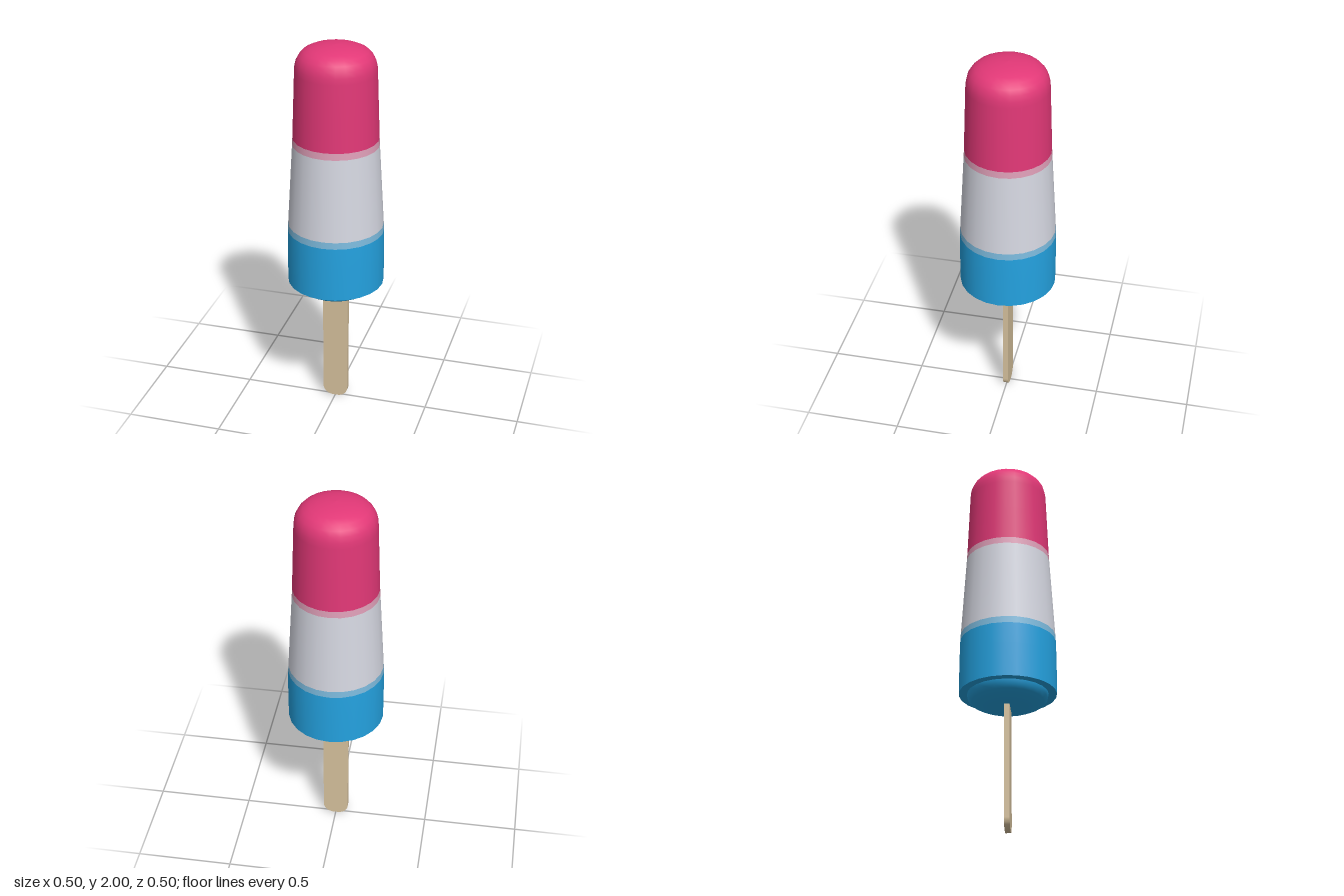
import * as THREE from 'three';

const material = (name, color) => {
  const m = new THREE.MeshStandardMaterial({ color });
  m.name = name;
  return m;
};

export function createModel() {
  const pink = material('pink ice', 0xe23877);
  const palePink = material('pale pink blend', 0xe0a0b9);
  const white = material('white ice', 0xd6d8e2);
  const paleBlue = material('pale blue blend', 0x7dbbde);
  const blue = material('blue ice', 0x24a2e0);
  const wood = material('pale wood', 0xd6c19d);

  const group = new THREE.Group();
  group.name = 'icePop';

  const add = (name, geometry, mat) => {
    const mesh = new THREE.Mesh(geometry, mat);
    mesh.name = name;
    group.add(mesh);
  };
  // Profiles run upwards as [radius, height]
  const turn = (name, mat, profile) =>
    add(name, new THREE.LatheGeometry(profile.map(([r, y]) => new THREE.Vector2(r, y)), 24), mat);

  // Rounded underside and the flat rim around it
  turn('underside', blue, [
    [0, 0.64], [0.06, 0.643], [0.11, 0.651], [0.155, 0.664], [0.187, 0.68], [0.203, 0.695], [0.208, 0.72],
  ]);
  turn('rim', blue, [[0.208, 0.72], [0.25, 0.72]]);

  // Tapering body in coloured bands
  turn('blueBand', blue, [[0.25, 0.72], [0.25, 0.9], [0.248, 1.01]]);
  turn('blueBlend', paleBlue, [[0.248, 1.01], [0.246, 1.045]]);
  turn('whiteBand', white, [[0.246, 1.045], [0.22, 1.48]]);
  turn('pinkBlend', palePink, [[0.22, 1.48], [0.218, 1.515]]);
  turn('pinkTip', pink, [
    [0.218, 1.515], [0.211, 1.7], [0.205, 1.86], [0.203, 1.89], [0.196, 1.92], [0.182, 1.945],
    [0.16, 1.967], [0.13, 1.981], [0.09, 1.992], [0.045, 1.998], [0, 2],
  ]);

  // Flat stick with a rounded lower end
  const w = 0.067, r = 0.055, depth = 0.028;
  const outline = new THREE.Shape();
  outline.moveTo(-w, 0.7);
  outline.lineTo(-w, r);
  outline.absarc(-w + r, r, r, Math.PI, Math.PI * 1.5, false);
  outline.absarc(w - r, r, r, Math.PI * 1.5, Math.PI * 2, false);
  outline.lineTo(w, 0.7);
  const stick = new THREE.ExtrudeGeometry(outline, { depth, bevelEnabled: false, curveSegments: 8 });
  stick.translate(0, 0, -depth / 2);
  add('stick', stick, wood);

  return group;
}
